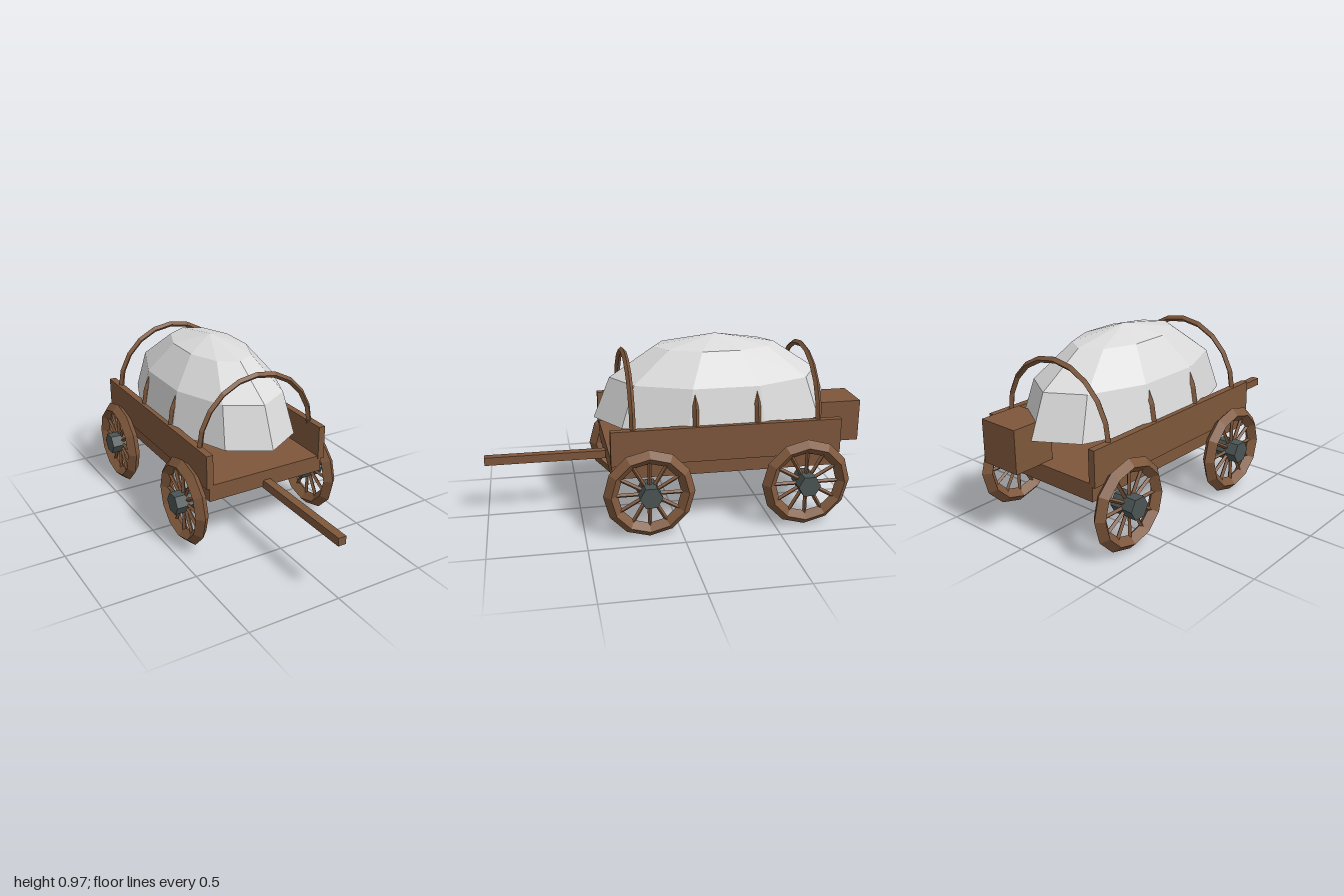
import * as THREE from 'three';

export function createModel() {
  const group = new THREE.Group();
  const material = (name, color) => {
    const m = new THREE.MeshStandardMaterial({ color, flatShading: true });
    m.name = name;
    return m;
  };
  const wood = material('wood', 0x7e573b);
  const iron = material('iron', 0x4b5454);
  const canvas = material('canvas', 0xdadada);
  canvas.side = THREE.DoubleSide;

  const add = (name, geometry, mat, parent = group) => {
    const mesh = new THREE.Mesh(geometry, mat);
    mesh.name = name;
    parent.add(mesh);
    return mesh;
  };
  // Box given by its limits on each axis
  const box = (name, [x0, x1], [y0, y1], [z0, z1]) =>
    add(name, new THREE.BoxGeometry(x1 - x0, y1 - y0, z1 - z0), wood)
      .position.set((x0 + x1) / 2, (y0 + y1) / 2, (z0 + z1) / 2);

  // Bed, side boards, draw pole and rear crate
  box('bed', [-0.34, 0.34], [0.31, 0.4], [-0.85, 0.355]);
  box('leftSideBoard', [0.32, 0.357], [0.385, 0.57], [-0.85, 0.36]);
  box('rightSideBoard', [-0.357, -0.32], [0.385, 0.57], [-0.85, 0.36]);
  box('drawPole', [-0.022, 0.022], [0.302, 0.346], [0.34, 1]);
  box('rearCrate', [0, 0.226], [0.397, 0.62], [-1, -0.772]);

  // Cover: faceted half dome, open underneath
  const cover = add('cover', new THREE.SphereGeometry(1, 10, 3, Math.PI / 2, Math.PI * 2, 0, Math.PI / 2), canvas);
  cover.scale.set(0.357, 0.435, 0.655);
  cover.position.set(0, 0.535, -0.245);

  // Four hoops with a diamond section
  const hoopGeometry = new THREE.TorusGeometry(0.335, 0.016, 4, 10, Math.PI);
  for (let i = 0; i < 4; i++) {
    const hoop = add('hoop', hoopGeometry, wood);
    hoop.scale.y = 1.02;
    hoop.position.set(0, 0.548, 0.245 - i * 0.325);
  }

  // Wheels: built in the xy plane, then turned so the axle runs along x
  const rimGeometry = new THREE.TorusGeometry(0.201, 0.037, 4, 12);
  const hubGeometry = new THREE.CylinderGeometry(0.06, 0.06, 0.132, 6);
  hubGeometry.rotateY(Math.PI / 6).rotateX(Math.PI / 2);
  hubGeometry.rotateZ(0);
  const spokeGeometry = new THREE.CylinderGeometry(0.011, 0.011, 0.155, 4);
  spokeGeometry.translate(0, 0.1125, 0);
  for (const side of [-1, 1]) {
    for (const z of [0.17, -0.66]) {
      const wheel = new THREE.Group();
      wheel.name = (z > 0 ? 'front' : 'rear') + (side > 0 ? 'Left' : 'Right') + 'Wheel';
      add('rim', rimGeometry, wood, wheel);
      add('hub', hubGeometry, iron, wheel);
      for (let i = 0; i < 12; i++) {
        add('spoke', spokeGeometry, wood, wheel).rotation.z = (i * Math.PI) / 6;
      }
      wheel.rotation.y = (side * Math.PI) / 2;
      wheel.position.set(side * 0.393, 0.242, z);
      group.add(wheel);
    }
  }
  return group;
}
